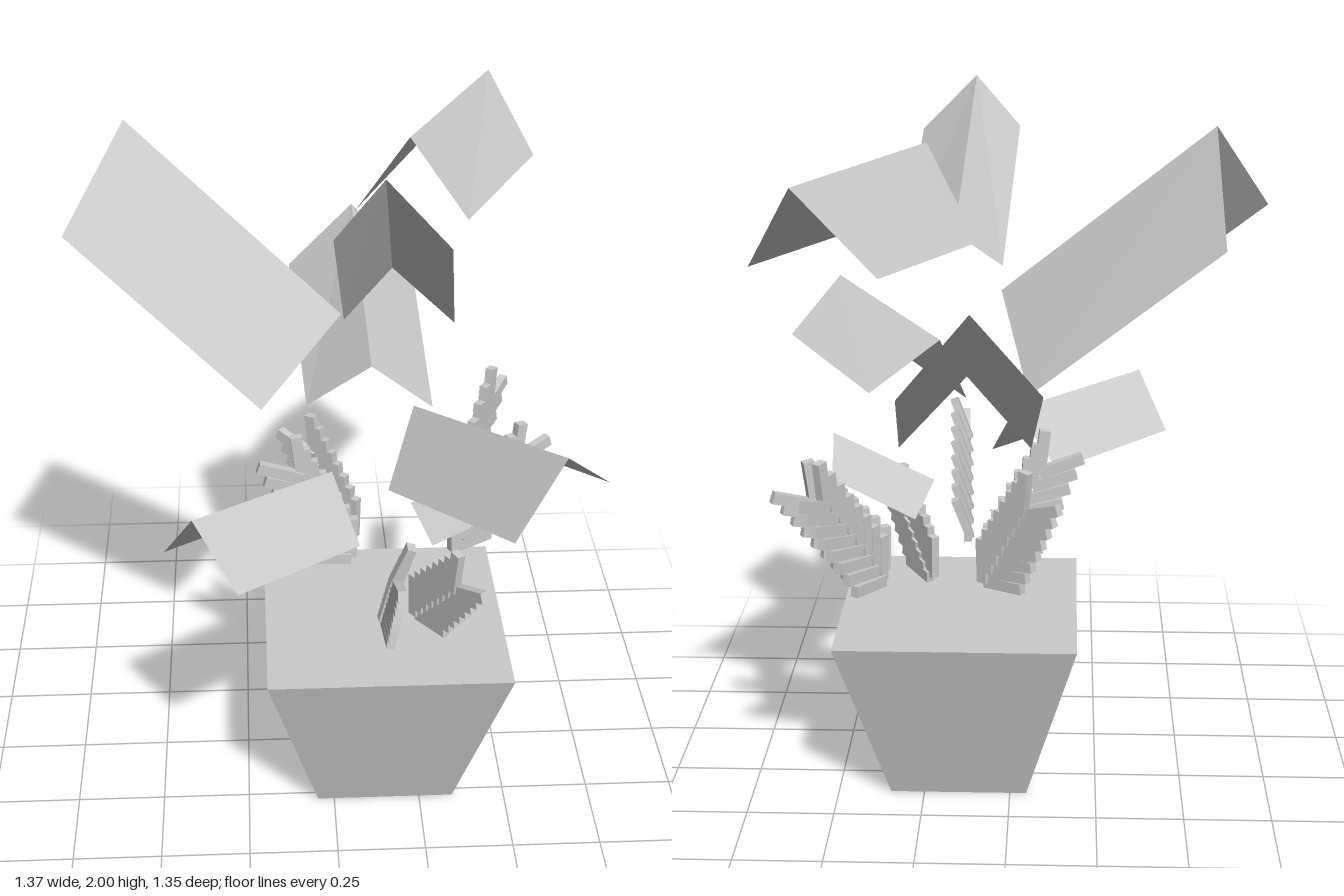
import * as THREE from 'three';

const material = new THREE.MeshStandardMaterial({ color: 0xcccccc, flatShading: true, side: THREE.DoubleSide });

// Tapered square pot: open underneath, closed by soil on top
function makePot() {
  const pot = new THREE.Group();
  pot.name = 'pot';
  const height = 0.52, top = 0.34, bottom = 0.1975;
  const walls = new THREE.Mesh(
    new THREE.CylinderGeometry(top * Math.SQRT2, bottom * Math.SQRT2, height, 4, 1, true), material);
  walls.name = 'potWalls';
  walls.rotation.y = Math.PI / 4;
  walls.position.y = height / 2;
  const soil = new THREE.Mesh(new THREE.PlaneGeometry(top * 2, top * 2), material);
  soil.name = 'soil';
  soil.rotation.x = -Math.PI / 2;
  soil.position.y = height;
  pot.add(walls, soil);
  pot.position.set(0.15, 0, 0.08);
  return pot;
}

// Folded leaf: two flat halves meeting at a ridge, each line given as [outer, inner]
function makeLeaf(ridge, sideA, sideB) {
  const geometry = new THREE.BufferGeometry();
  const points = [...ridge, ...sideA, ...sideB].flat();
  geometry.setAttribute('position', new THREE.Float32BufferAttribute(points, 3));
  geometry.setIndex([0, 2, 3, 0, 3, 1, 0, 1, 5, 0, 5, 4]);
  const flat = geometry.toNonIndexed();
  flat.computeVertexNormals();
  const leaf = new THREE.Mesh(flat, material);
  leaf.name = 'foldedLeaf';
  return leaf;
}

// Fern frond: pairs of slim leaflets in an upright plane, one outward and one upward per step
function makeFrond({ base, dir, run, rise, lean = 0, length = 0.13 }) {
  const frond = new THREE.Group();
  frond.name = 'fernFrond';
  const pairs = 8;
  const blade = new THREE.BoxGeometry(length, 0.032, 0.024);
  blade.translate(length / 2, 0, 0);
  for (let i = 0; i < pairs; i++) {
    const t = i / (pairs - 1);
    for (const upward of [false, true]) {
      const leaflet = new THREE.Mesh(blade, material);
      leaflet.name = upward ? 'upperLeaflet' : 'outerLeaflet';
      leaflet.position.set(run * t, rise * t, upward ? 0.004 : -0.004);
      leaflet.rotation.z = upward ? 1.6 - 0.15 * t : 0.08 + 0.25 * t;
      if (upward) leaflet.rotation.x = lean;
      frond.add(leaflet);
    }
  }
  frond.position.set(...base);
  frond.rotation.y = Math.atan2(-dir[1], dir[0]);
  return frond;
}

export function createModel() {
  const plant = new THREE.Group();
  plant.name = 'pottedPlant';
  plant.add(makePot());

  // Large leaves: ridge, then the two side edges
  const leaves = [
    [[[-0.53, 1.95, -0.14], [0.027, 1.47, 0.045]],
      [[-0.69, 1.71, 0.055], [-0.19, 1.28, 0.215]], [[-0.55, 1.67, -0.34], [-0.053, 1.24, -0.187]]],
    [[[0.11, 2, 0.426], [0.157, 1.62, 0.085]],
      [[-0.013, 1.855, 0.44], [0.028, 1.51, 0.16]], [[0.267, 1.84, 0.47], [0.31, 1.515, 0.2]]],
    [[[0.488, 1.89, -0.675], [0.214, 1.9, -0.112]],
      [[0.613, 1.675, -0.553], [0.373, 1.675, -0.087]], [[0.29, 1.675, -0.667], [0.08, 1.66, -0.21]]],
    [[[0.085, 1.55, -0.513], [0.118, 1.255, -0.062]],
      [[-0.097, 1.35, -0.542], [-0.06, 1.083, -0.16]], [[0.267, 1.342, -0.555], [0.3, 1.077, -0.145]]],
    [[[0.545, 1.363, 0.637], [0.21, 1.28, 0.21]],
      [[0.422, 1.145, 0.672], [0.14, 1.077, 0.3]], [[0.682, 1.21, 0.505], [0.41, 1.14, 0.14]]],
    [[[-0.373, 1.114, 0.484], [-0.004, 1.077, 0.198]],
      [[-0.453, 0.955, 0.384], [-0.13, 0.92, 0.125]], [[-0.26, 0.943, 0.573], [0.066, 0.913, 0.315]]],
    [[[0.507, 1.04, 0.083], [0.222, 0.9, 0.083]],
      [[0.505, 0.93, 0.165], [0.278, 0.81, 0.167]], [[0.505, 0.93, 0], [0.272, 0.81, 0]]],
  ];
  for (const leaf of leaves) plant.add(makeLeaf(...leaf));

  // Fern fronds around the pot, each heading outward along dir = [x, z]
  const fronds = [
    { base: [0.06, 0.67, 0], dir: [-1, 0.08], run: 0.14, rise: 0.28 },
    { base: [0.07, 0.67, -0.11], dir: [-0.2, -0.145], run: 0.13, rise: 0.23 },
    { base: [0.36, 0.67, -0.03], dir: [0.3, -0.155], run: 0.2, rise: 0.23 },
    { base: [0.355, 0.68, -0.13], dir: [0.2, -0.31], run: 0.23, rise: 0.29 },
    { base: [0.135, 0.645, 0.28], dir: [0.02, 0.34], run: 0.19, rise: 0.25, lean: -0.35 },
    { base: [0.24, 0.57, 0.15], dir: [0.55, 0.84], run: 0.16, rise: 0.17 },
  ];
  for (const frond of fronds) plant.add(makeFrond(frond));
  return plant;
}
